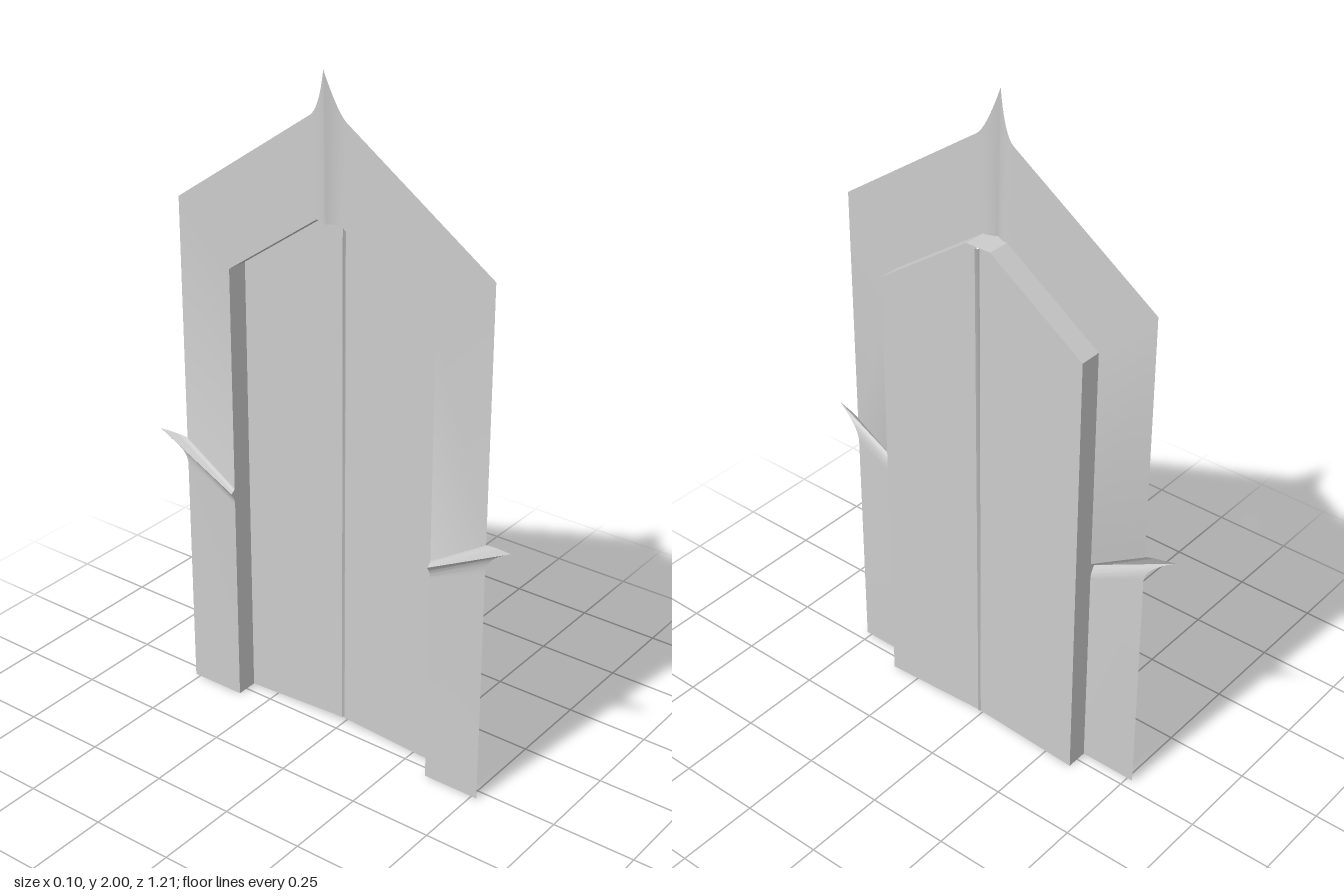
import * as THREE from 'three';
import { toCreasedNormals } from 'three/addons/utils/BufferGeometryUtils.js';

const SHEET_X = -0.032; // plane of the thin border
const PANEL_X = 0.035;  // plane of the raised panel
const material = new THREE.MeshStandardMaterial({ color: 0xcccccc, side: THREE.DoubleSide });

// Surface ruled between two polylines of [x, y, z] points
function strip(name, a, b) {
  const pos = [], idx = [];
  a.forEach((p, i) => {
    pos.push(...p, ...b[i]);
    const k = 2 * i;
    if (i) idx.push(k - 2, k, k - 1, k, k + 1, k - 1);
  });
  const geo = new THREE.BufferGeometry();
  geo.setAttribute('position', new THREE.Float32BufferAttribute(pos, 3));
  geo.setIndex(idx);
  const mesh = new THREE.Mesh(toCreasedNormals(geo, 0.5), material);
  mesh.name = name;
  return mesh;
}

// Stations along one half of the border: inner edge and outer edge, from foot to apex
function borderStations() {
  const inner = [], outer = [];
  const add = (iz, iy, oz, oy, innerLift = 0, outerLift = innerLift) => {
    inner.push([SHEET_X - innerLift, iy, iz]);
    outer.push([SHEET_X - outerLift, oy, oz]);
  };
  const N = 8, lerp = THREE.MathUtils.lerp;
  add(0.342, 0, 0.517, 0);

  // Side thorn: a concave crease rising to a point
  for (let i = -N; i <= N; i++) {
    const t = Math.abs(i) / N, f = (1 - t) ** 2;
    const iy = lerp(0.69, i < 0 ? 0.65 : 0.705, t);
    const oy = lerp(0.825, i < 0 ? 0.73 : 0.812, t);
    add(0.342, iy, 0.517 + 0.088 * f, oy, 0.015 * f, 0.017 * f);
  }

  add(0.342, 1.38, 0.517, 1.552);

  // Half of the apex thorn
  for (let i = N; i >= 0; i--) {
    const t = i / N, f = (1 - t) ** 2;
    add(0.04 * t, 1.59, 0.06 * t, 1.908 - 0.041 * t + 0.092 * f, 0.014 * f, 0.021 * f);
  }
  return { inner, outer };
}

// Append the mirror image across z = 0
const mirrored = (pts) => [...pts, ...pts.slice(0, -1).reverse().map(([x, y, z]) => [x, y, -z])];

export function createModel() {
  const group = new THREE.Group();
  group.name = 'pointedPanel';

  const stations = borderStations();
  const inner = mirrored(stations.inner);
  const outer = mirrored(stations.outer);

  // Thin border sheet with its three creased thorns
  group.add(strip('border', inner, outer));

  // Walls linking the border to the raised panel
  group.add(strip('panelWall', inner, inner.map(([, y, z]) => [PANEL_X, y, z])));

  // Raised panel with arched foot and a narrow central rib
  const foot = [[PANEL_X, 0, 0.342], [PANEL_X, 0.005, 0.25], [PANEL_X, 0.017, 0.04],
    [PANEL_X, 0.018, 0.005], [0.04, 0.019, 0]];
  const head = [[PANEL_X, 1.38, 0.342], [PANEL_X, 1.444, 0.25], [PANEL_X, 1.59, 0.04],
    [PANEL_X, 1.59, 0.005], [0.049, 1.59, 0]];
  group.add(strip('raisedPanel', mirrored(foot), mirrored(head)));

  return group;
}
